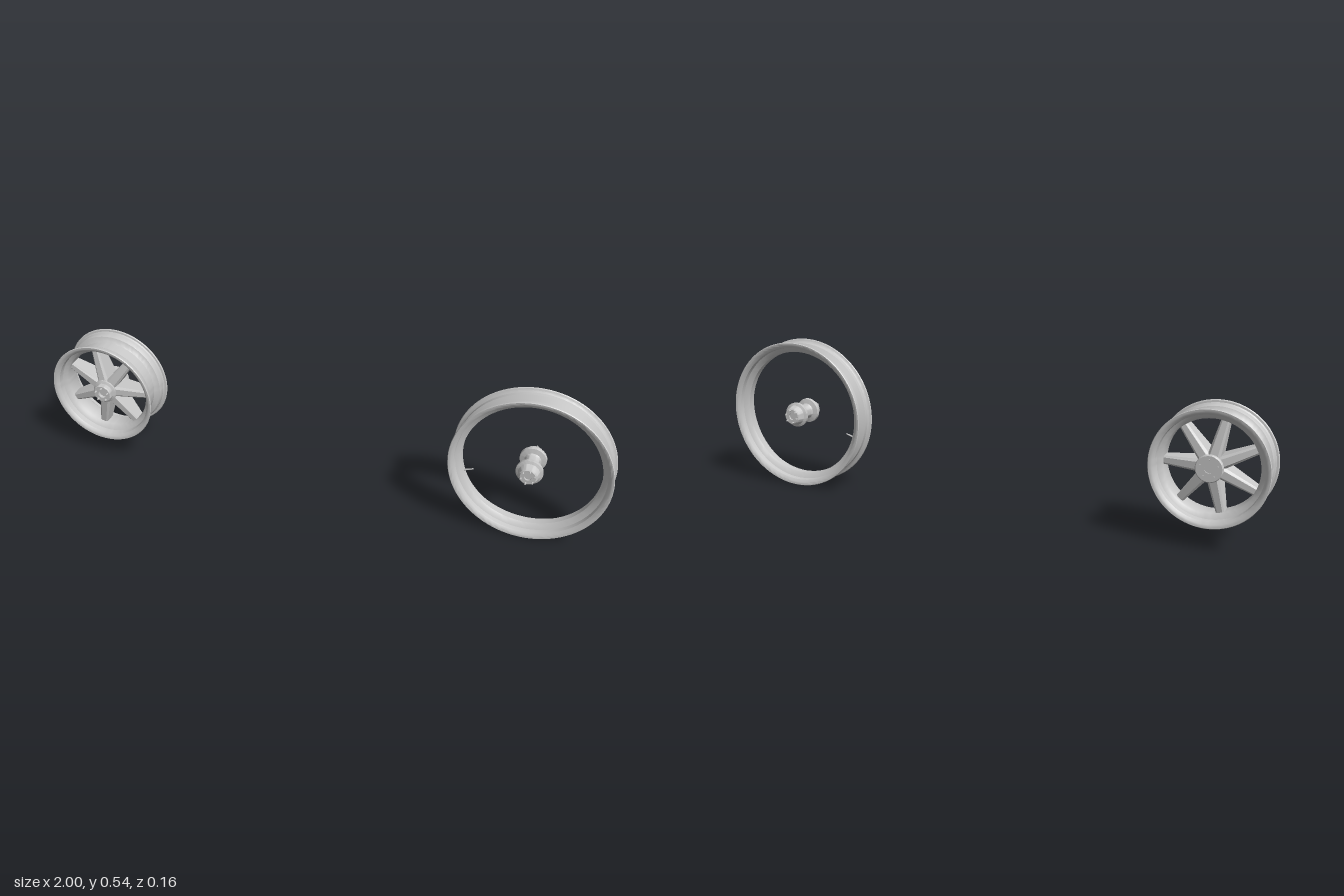
import * as THREE from 'three';
import { toCreasedNormals } from 'three/addons/utils/BufferGeometryUtils.js';

const metal = new THREE.MeshStandardMaterial({ color: 0xc8c8c8 });
metal.name = 'light grey metal';

function add(parent, name, geometry) {
  const mesh = new THREE.Mesh(geometry, metal);
  mesh.name = name;
  parent.add(mesh);
  return mesh;
}

// Turned part about z from [radius, z] points, listed with the outside running towards +z
function turned(points, segments = 96) {
  const g = new THREE.LatheGeometry(points.map(([r, z]) => new THREE.Vector2(r, z)), segments);
  return toCreasedNormals(g.rotateX(Math.PI / 2), 0.6);
}

// Closed hollow rim from half profiles listed from the centre to the edge
function rim(outer, inner) {
  const flip = (list) => list.map(([r, z]) => [r, -z]);
  const loop = [...flip(outer).reverse(), ...outer, ...[...inner].reverse(), ...flip(inner)];
  return turned([...loop, loop[0]], 128);
}

// Ring of small bolts about z
function bolts(parent, count, radius, z, size, length) {
  for (let i = 0; i < count; i++) {
    const a = (i / count) * Math.PI * 2 + 0.3;
    const bolt = add(parent, 'bolt', new THREE.CylinderGeometry(size, size, length, 8).rotateX(Math.PI / 2));
    bolt.position.set(Math.cos(a) * radius, Math.sin(a) * radius, z);
  }
}

// Chamfered spoke along +x, tapering from hub to rim
function spokeGeometry(start, end) {
  const shape = new THREE.Shape([
    [-0.5, -0.4], [-0.3, -0.5], [0.3, -0.5], [0.5, -0.4],
    [0.5, 0.4], [0.3, 0.5], [-0.3, 0.5], [-0.5, 0.4],
  ].map(([x, y]) => new THREE.Vector2(x, y)));
  const g = new THREE.ExtrudeGeometry(shape, { depth: 1, bevelEnabled: false });
  const p = g.attributes.position;
  for (let i = 0; i < p.count; i++) {
    const t = p.getZ(i);
    const width = THREE.MathUtils.lerp(0.042, 0.027, t);
    const depth = THREE.MathUtils.lerp(0.085, 0.045, t);
    // cyclic axis swap keeps the face winding
    p.setXYZ(i, THREE.MathUtils.lerp(start, end, t), p.getX(i) * width, p.getY(i) * depth);
  }
  g.computeVertexNormals();
  return g;
}

function createNarrowWheel() {
  const wheel = new THREE.Group();
  wheel.name = 'narrowWheel';
  add(wheel, 'narrowRim', rim(
    [[0.24, 0.011], [0.257, 0.022], [0.257, 0.036], [0.262, 0.041], [0.268, 0.043], [0.27, 0.046], [0.268, 0.049]],
    [[0.23, 0.012], [0.236, 0.018], [0.248, 0.025], [0.25, 0.04], [0.258, 0.047], [0.264, 0.049]],
  ));

  // Spool hub with a flange and bolted cone at each end
  const half = [[0.024, 0], [0.024, 0.02], [0.028, 0.026], [0.044, 0.03], [0.045, 0.034],
    [0.045, 0.042], [0.036, 0.046], [0.03, 0.068], [0.026, 0.071], [0.012, 0.071], [0.012, 0.064], [0, 0.064]];
  const back = half.slice(1).map(([r, z]) => [r, -z]).reverse();
  add(wheel, 'narrowHub', turned([...back, ...half], 48));
  for (const side of [1, -1]) bolts(wheel, 6, 0.023, side * 0.073, 0.003, 0.013);

  // Valve stem on the inside of the rim
  const a = Math.PI * 1.1;
  const valve = add(wheel, 'valveStem', new THREE.CylinderGeometry(0.0025, 0.0035, 0.036, 10));
  valve.position.set(Math.cos(a) * 0.216, Math.sin(a) * 0.216, 0);
  valve.rotation.z = a + Math.PI / 2;
  return wheel;
}

function createWideWheel() {
  const wheel = new THREE.Group();
  wheel.name = 'wideWheel';
  add(wheel, 'wideRim', rim(
    [[0.162, 0.025], [0.166, 0.03], [0.179, 0.036], [0.181, 0.04], [0.181, 0.06], [0.185, 0.064], [0.191, 0.065], [0.194, 0.068], [0.192, 0.071]],
    [[0.154, 0.027], [0.158, 0.033], [0.171, 0.041], [0.173, 0.06], [0.18, 0.068], [0.187, 0.071]],
  ));

  // Hub: stepped nose at the front, flat disc at the back
  add(wheel, 'wideHub', turned([
    [0, -0.058], [0.014, -0.058], [0.014, -0.062], [0.042, -0.062], [0.045, -0.059], [0.045, -0.05],
    [0.04, -0.045], [0.04, 0.036], [0.043, 0.04], [0.043, 0.046], [0.034, 0.05], [0.034, 0.064],
    [0.031, 0.067], [0.015, 0.067], [0.015, 0.055], [0, 0.055],
  ], 48));
  bolts(wheel, 5, 0.024, 0.07, 0.0035, 0.014);
  bolts(wheel, 5, 0.03, -0.062, 0.003, 0.006);

  // Seven cast spokes
  const geometry = spokeGeometry(0.03, 0.159);
  for (let i = 0; i < 7; i++) {
    add(wheel, 'spoke', geometry).rotation.z = (i / 7) * Math.PI * 2;
  }
  return wheel;
}

export function createModel() {
  const model = new THREE.Group();
  model.name = 'wheelPair';
  const narrow = createNarrowWheel();
  narrow.position.set(0.73, 0.271, 0);
  const wide = createWideWheel();
  wide.position.set(-0.806, 0.268, 0);
  model.add(narrow, wide);
  return model;
}
